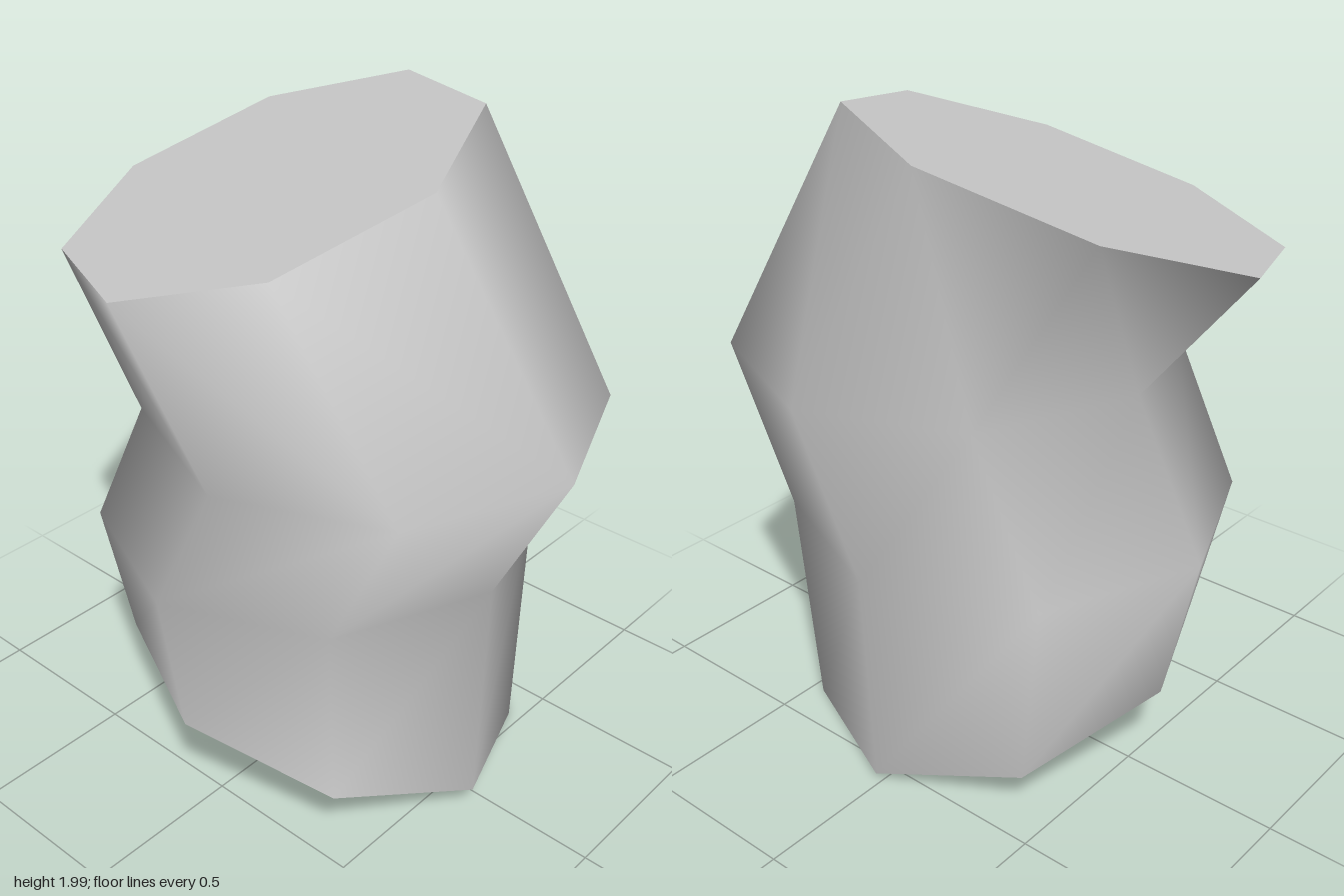
import * as THREE from 'three';

// Rings of the bent column, bottom to top: centre, radius and tilt (slope of y along x and z).
const SIDES = 8;
const RINGS = [
  { c: [0.02, 0.202, 0.04], rx: 0.62, rz: 0.61, sx: -0.174, sz: 0.279 },
  { c: [-0.05, 0.78, 0], rx: 0.66, rz: 0.665, sx: 0, sz: 0 },
  { c: [0.18, 1.23, 0], rx: 0.66, rz: 0.665, sx: 0, sz: 0 },
  { c: [-0.225, 1.792, 0.005], rx: 0.615, rz: 0.606, sx: 0.219, sz: -0.28 },
];

// Corner k of a ring, counted from +x towards -z; the end rings are turned slightly by their tilt.
function corner(ring, k) {
  const a = (k / SIDES) * Math.PI * 2;
  const skew = ring.sx === 0 ? 0 : 0.035;
  const dx = ring.rx * Math.cos(a);
  const dz = -ring.rz * Math.sin(a) + skew * Math.cos(a);
  const [cx, cy, cz] = ring.c;
  return [cx + dx, cy + ring.sx * dx + ring.sz * dz, cz + dz];
}

function geometry(positions, index) {
  const g = new THREE.BufferGeometry();
  g.setAttribute('position', new THREE.Float32BufferAttribute(positions, 3));
  g.setIndex(index);
  g.computeVertexNormals();
  return g;
}

// Smooth side wall joining the rings
function wallGeometry() {
  const pos = [];
  const idx = [];
  for (const ring of RINGS) for (let k = 0; k < SIDES; k++) pos.push(...corner(ring, k));
  for (let r = 0; r < RINGS.length - 1; r++) {
    for (let k = 0; k < SIDES; k++) {
      const n = (k + 1) % SIDES;
      const a = r * SIDES + k, b = r * SIDES + n;
      const c = b + SIDES, d = a + SIDES;
      if (r === 2) idx.push(a, b, d, b, c, d);
      else idx.push(a, b, c, a, c, d);
    }
  }
  return geometry(pos, idx);
}

// Flat end face over one ring
function capGeometry(ring, up) {
  const pos = [];
  const idx = [];
  for (let k = 0; k < SIDES; k++) pos.push(...corner(ring, k));
  for (let k = 1; k < SIDES - 1; k++) idx.push(...(up ? [0, k, k + 1] : [0, k + 1, k]));
  return geometry(pos, idx);
}

export function createModel() {
  const grey = new THREE.MeshStandardMaterial({ color: 0xcccccc });
  grey.name = 'plain grey';
  const group = new THREE.Group();
  group.name = 'bentColumn';
  const add = (name, geo) => {
    const mesh = new THREE.Mesh(geo, grey);
    mesh.name = name;
    group.add(mesh);
  };
  add('columnWall', wallGeometry());
  add('bottomCap', capGeometry(RINGS[0], false));
  add('topCap', capGeometry(RINGS[RINGS.length - 1], true));
  return group;
}
